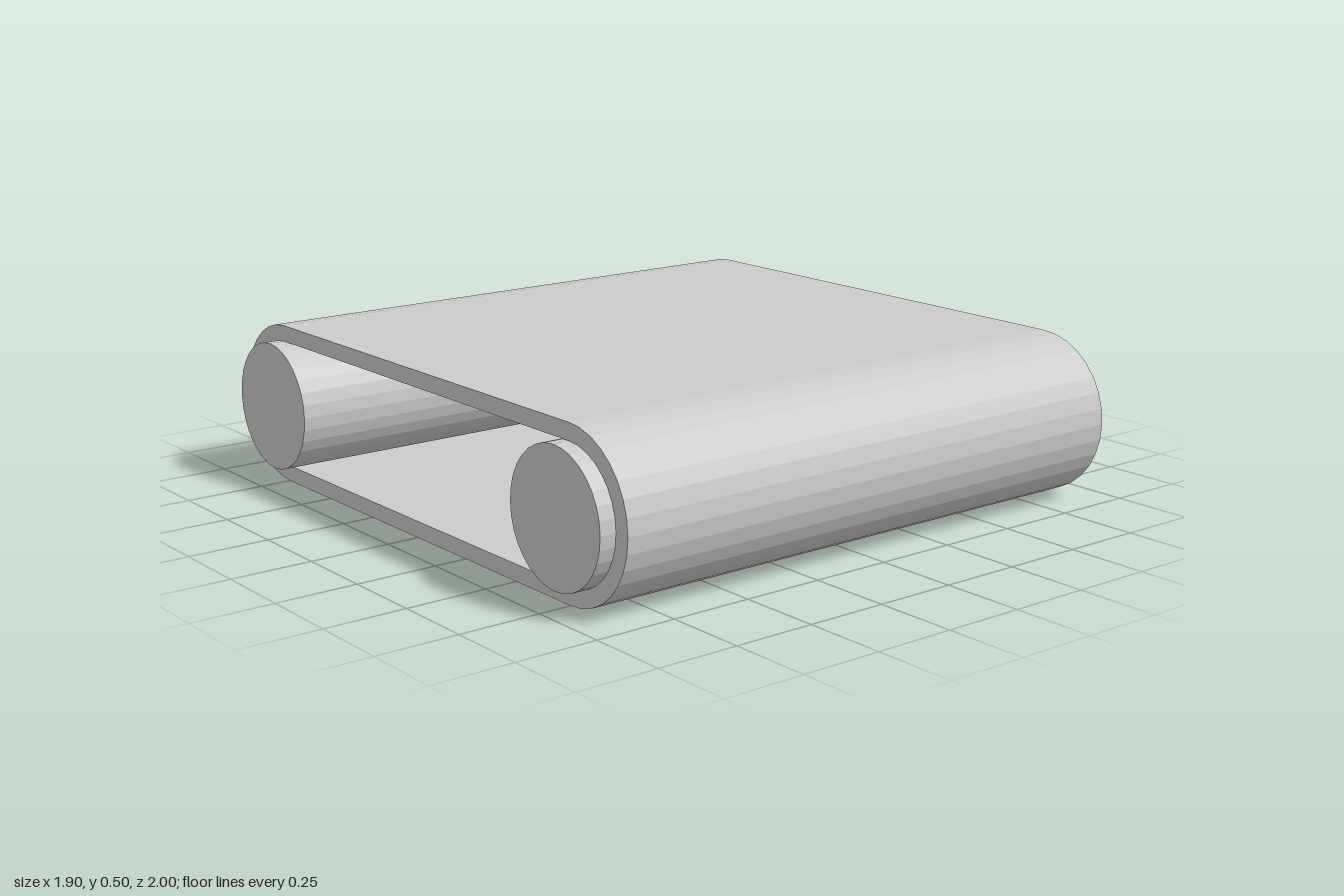
import * as THREE from 'three';

const AXLE_Z = 0.75, AXLE_Y = 0.25;
const BELT_WIDTH = 1.8, BELT_RADIUS = 0.25;
const ROLLER_LENGTH = 1.9, ROLLER_RADIUS = 0.2;

// Stadium outline around the two axles, used for the belt and its opening
function traceStadium(path, radius) {
  path.moveTo(-AXLE_Z, -radius);
  path.lineTo(AXLE_Z, -radius);
  path.absarc(AXLE_Z, 0, radius, -Math.PI / 2, Math.PI / 2, false);
  path.lineTo(-AXLE_Z, radius);
  path.absarc(-AXLE_Z, 0, radius, Math.PI / 2, Math.PI * 1.5, false);
  return path;
}

export function createModel() {
  const model = new THREE.Group();
  model.name = 'conveyor';
  const material = new THREE.MeshStandardMaterial({ color: 0xcccccc, flatShading: true });

  // Belt: hollow loop extruded across the width
  const outline = traceStadium(new THREE.Shape(), BELT_RADIUS);
  outline.holes.push(traceStadium(new THREE.Path(), ROLLER_RADIUS));
  const beltGeometry = new THREE.ExtrudeGeometry(outline, {
    depth: BELT_WIDTH, bevelEnabled: false, curveSegments: 8,
  });
  beltGeometry.translate(0, 0, -BELT_WIDTH / 2).rotateY(-Math.PI / 2);
  const belt = new THREE.Mesh(beltGeometry, material);
  belt.name = 'belt';
  belt.position.y = AXLE_Y;
  model.add(belt);

  // Rollers: one at each end, slightly wider than the belt
  const rollerGeometry = new THREE.CylinderGeometry(ROLLER_RADIUS, ROLLER_RADIUS, ROLLER_LENGTH, 32);
  rollerGeometry.rotateZ(Math.PI / 2);
  for (const [name, side] of [['frontRoller', 1], ['backRoller', -1]]) {
    const roller = new THREE.Mesh(rollerGeometry, material);
    roller.name = name;
    roller.position.set(0, AXLE_Y, side * AXLE_Z);
    model.add(roller);
  }

  return model;
}
